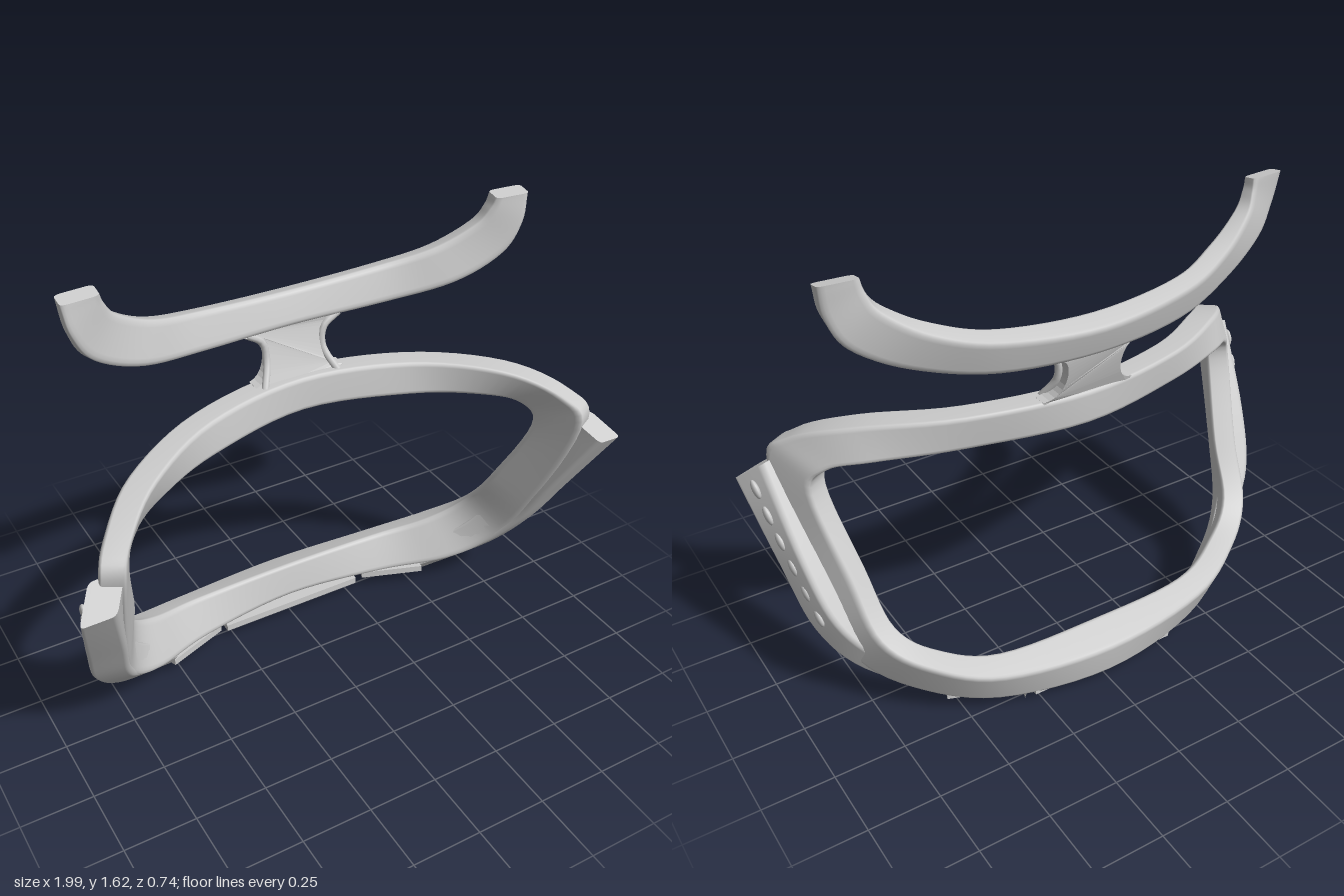
import * as THREE from 'three';

const material = new THREE.MeshStandardMaterial({ color: 0xcccccc, side: THREE.DoubleSide });

// Rounded unit square used as the bar section: u runs edge A to edge B, v runs along the depth
function roundedSquare(r, steps = 3) {
  const points = [];
  [[r, r, Math.PI], [1 - r, r, 1.5 * Math.PI], [1 - r, 1 - r, 0], [r, 1 - r, 0.5 * Math.PI]].forEach(([u, v, start]) => {
    for (let i = 0; i <= steps; i++) {
      const a = start + (i / steps) * Math.PI / 2;
      points.push([u + r * Math.cos(a), v + r * Math.sin(a)]);
    }
  });
  return points;
}

const mirror = (station) => station.map(([x, y, z]) => [-x, y, z]);

// Sweeps a rounded bar through stations [edge A, edge B, depth vector]
function bar(name, stations, { closed = false, radius = 0.13, steps = 6 } = {}) {
  const [edgeA, edgeB, depth] = [0, 1, 2].map((k) => new THREE.CatmullRomCurve3(
    stations.map((s) => new THREE.Vector3(...s[k])), closed, 'catmullrom', 0.5));
  const section = roundedSquare(radius);
  const n = section.length;
  const count = (closed ? stations.length : stations.length - 1) * steps;
  const rings = closed ? count : count + 1;
  const pos = [], index = [];
  for (let i = 0; i < rings; i++) {
    const a = edgeA.getPoint(i / count), b = edgeB.getPoint(i / count), d = depth.getPoint(i / count);
    for (const [u, v] of section) {
      const p = a.clone().lerp(b, u).addScaledVector(d, v);
      pos.push(p.x, p.y, p.z);
    }
  }
  for (let i = 0; i < count; i++) {
    for (let k = 0; k < n; k++) {
      const j = (k + 1) % n, p = i * n, q = ((i + 1) % rings) * n;
      index.push(p + k, q + k, p + j, q + k, q + j, p + j);
    }
  }
  if (!closed) {
    // Flat end caps with their own vertices
    [0, rings - 1].forEach((ring, end) => {
      const base = pos.length / 3;
      pos.push(...pos.slice(ring * n * 3, (ring + 1) * n * 3));
      for (let k = 1; k < n - 1; k++) {
        if (end) index.push(base, base + k + 1, base + k);
        else index.push(base, base + k, base + k + 1);
      }
    });
  }
  const geometry = new THREE.BufferGeometry();
  geometry.setAttribute('position', new THREE.Float32BufferAttribute(pos, 3));
  geometry.setIndex(index);
  geometry.computeVertexNormals();
  return part(name, geometry);
}

function part(name, geometry) {
  const mesh = new THREE.Mesh(geometry, material);
  mesh.name = name;
  return mesh;
}

export function createModel() {
  const model = new THREE.Group();
  model.name = 'curvedSupportFrame';

  // Main loop, from top centre round the left side to bottom centre
  const loop = [
    [[0, 1.1, -0.2], [0, 0.98, -0.195], [0, 0, 0.09]],
    [[0.4, 1.09, -0.12], [0.4, 0.97, -0.11], [-0.03, 0, 0.085]],
    [[0.7, 1.06, 0.06], [0.66, 0.95, 0.0], [-0.06, 0, 0.075]],
    [[0.86, 0.985, 0.23], [0.79, 0.915, 0.09], [-0.07, 0, 0.05]],
    [[0.91, 0.87, 0.29], [0.835, 0.82, 0.12], [-0.075, 0, 0.04]],
    [[0.87, 0.46, 0.12], [0.785, 0.55, -0.01], [-0.075, 0, 0.04]],
    [[0.81, 0.24, 0.0], [0.75, 0.36, -0.13], [-0.075, 0.01, 0.04]],
    [[0.66, 0.12, -0.13], [0.62, 0.26, -0.235], [-0.06, 0.015, 0.07]],
    [[0.4, 0.05, -0.27], [0.4, 0.19, -0.325], [-0.03, 0.035, 0.09]],
    [[0, 0.04, -0.345], [0, 0.17, -0.368], [0, 0.05, 0.12]],
  ];
  const otherHalf = loop.slice(1, -1).reverse().map(mirror);
  model.add(bar('mainLoop', [...loop, ...otherHalf], { closed: true }));

  // Upper cradle arm, from centre to left tip
  const arm = [
    [[0, 1.36, -0.28], [0, 1.25, -0.245], [0, 0.025, 0.08]],
    [[0.33, 1.385, -0.245], [0.33, 1.262, -0.21], [-0.01, 0.02, 0.07]],
    [[0.52, 1.435, -0.185], [0.58, 1.315, -0.135], [-0.02, 0.015, 0.07]],
    [[0.645, 1.515, -0.13], [0.74, 1.405, -0.09], [-0.015, 0.005, 0.06]],
    [[0.68, 1.575, -0.105], [0.797, 1.51, -0.075], [-0.005, 0, 0.055]],
    [[0.69, 1.62, -0.095], [0.813, 1.62, -0.085], [0, -0.01, 0.055]],
  ];
  model.add(bar('upperArm', [...arm.slice(1).reverse().map(mirror), ...arm], { radius: 0.18 }));

  // Waisted neck plate, leaning back as it rises and curved like the bars
  const outline = new THREE.Shape();
  outline.moveTo(-0.15, 1.075);
  outline.lineTo(0.15, 1.075);
  outline.lineTo(0.165, 1.1);
  outline.bezierCurveTo(0.08, 1.11, 0.09, 1.24, 0.12, 1.255);
  outline.lineTo(0.17, 1.28);
  outline.lineTo(-0.17, 1.28);
  outline.lineTo(-0.12, 1.255);
  outline.bezierCurveTo(-0.09, 1.24, -0.08, 1.11, -0.165, 1.1);
  const neck = new THREE.ExtrudeGeometry(outline, { depth: 0.05, bevelEnabled: false, curveSegments: 12 });
  const p = neck.attributes.position;
  for (let i = 0; i < p.count; i++) {
    p.setZ(i, p.getZ(i) - 0.193 - (p.getY(i) - 1.075) * 0.27 + 0.6 * p.getX(i) ** 2);
  }
  neck.computeVertexNormals();
  model.add(part('neck', neck));

  // Wrap-around side pads on the loop's front edge
  const pad = [
    [[1.0, 0.81, 0.36], [0.93, 0.89, 0.27], [-0.11, 0.02, 0.02]],
    [[0.945, 0.54, 0.2], [0.9, 0.6, 0.09], [-0.125, 0, 0.02]],
    [[0.895, 0.33, 0.08], [0.85, 0.4, -0.02], [-0.12, 0, 0.02]],
    [[0.78, 0.18, -0.02], [0.735, 0.25, -0.09], [-0.08, 0.02, 0.02]],
    [[0.55, 0.06, -0.14], [0.55, 0.12, -0.2], [-0.03, 0.04, 0.02]],
  ];

  for (const side of [1, -1]) {
    const label = side > 0 ? 'left' : 'right';
    model.add(bar(label + 'Pad', side > 0 ? pad : pad.map(mirror).reverse()));

    // Row of shallow oval studs along the outside of the pad
    for (let i = 0; i < 6; i++) {
      const t = i / 5;
      const stud = part(label + 'PadStud', new THREE.SphereGeometry(1, 12, 8));
      stud.scale.set(0.012, 0.034, 0.022);
      stud.position.set(side * (0.956 - 0.06 * t - 0.014 * t * t), 0.8 - 0.4 * t, 0.28 - 0.23 * t);
      stud.rotation.set(0.5, 0, -side * 0.15);
      model.add(stud);
    }

    // Thin rib in front of the neck edge
    const rib = new THREE.CatmullRomCurve3([[0.17, 1.275, -0.18], [0.115, 1.235, -0.18],
      [0.105, 1.17, -0.17], [0.14, 1.085, -0.12]].map(([x, y, z]) => new THREE.Vector3(side * x, y, z)));
    model.add(part(label + 'NeckRib', new THREE.TubeGeometry(rib, 12, 0.013, 8)));

    // Small pointed clip and flap below the bottom bar
    const clip = part(label + 'Clip', new THREE.ConeGeometry(0.022, 0.08, 5));
    clip.position.set(side * 0.3, 0.045, -0.27);
    clip.rotation.x = Math.PI;
    model.add(clip);
    const flap = part(label + 'Flap', new THREE.BoxGeometry(0.24, 0.025, 0.06));
    flap.position.set(side * 0.43, 0.07, -0.195);
    flap.rotation.set(0, -side * 0.35, 0);
    model.add(flap);
  }

  // Narrow ledge along the bottom bar
  const ledge = part('bottomLedge', new THREE.BoxGeometry(0.56, 0.025, 0.1));
  ledge.position.set(0, 0.055, -0.26);
  model.add(ledge);

  return model;
}
